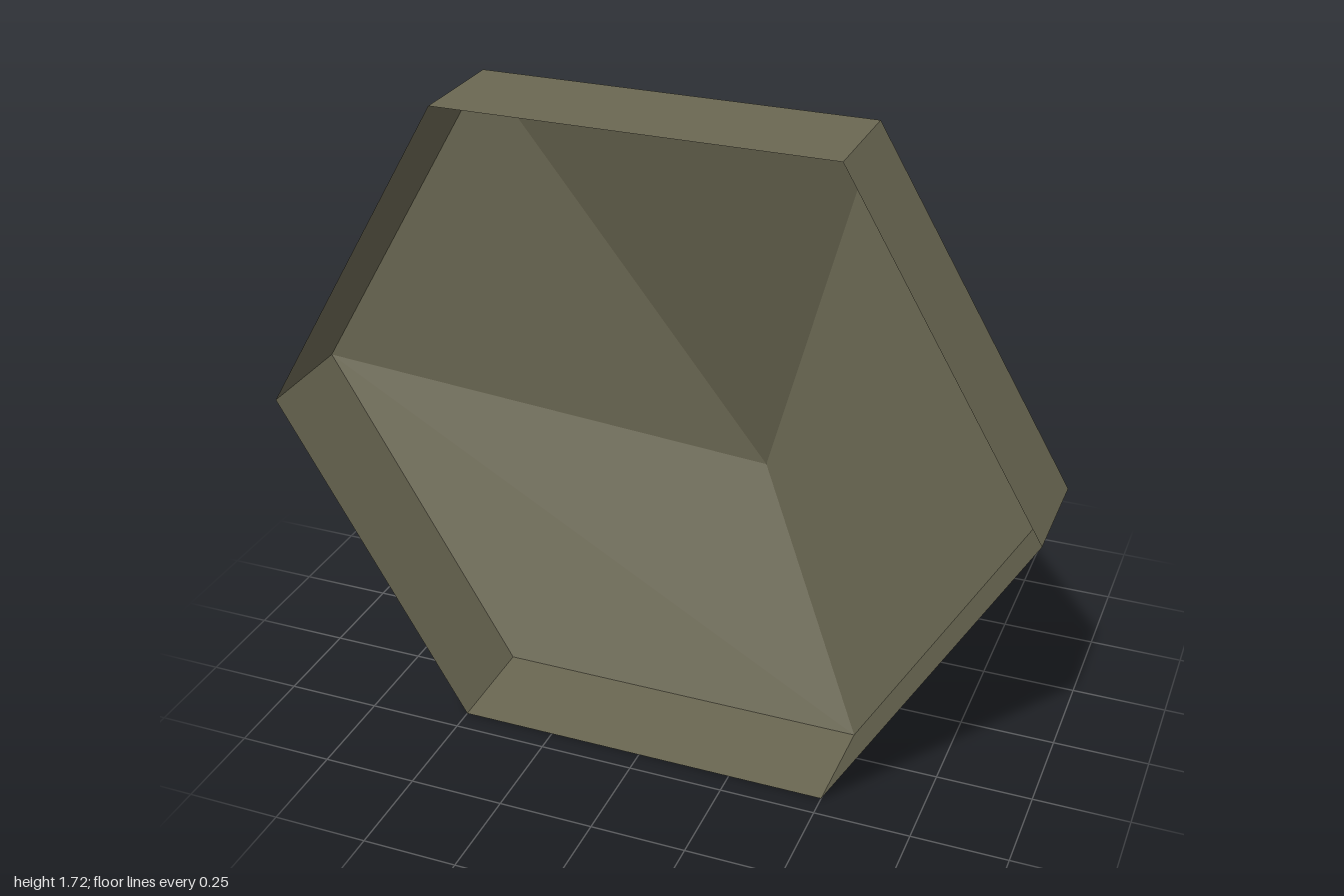
import * as THREE from 'three';

// Builds four-cornered panels, each shaded with one normal across the whole panel
function panels(quads) {
  const pos = [], nor = [];
  for (const [a, b, c, d] of quads) {
    const n = c.clone().sub(a).cross(d.clone().sub(b)).normalize();
    for (const p of [a, b, c, a, c, d]) {
      pos.push(p.x, p.y, p.z);
      nor.push(n.x, n.y, n.z);
    }
  }
  const geo = new THREE.BufferGeometry();
  geo.setAttribute('position', new THREE.Float32BufferAttribute(pos, 3));
  geo.setAttribute('normal', new THREE.Float32BufferAttribute(nor, 3));
  return geo;
}

export function createModel() {
  const olive = new THREE.MeshStandardMaterial({ color: 0x6a6752, side: THREE.DoubleSide });
  olive.name = 'olive';
  const black = new THREE.MeshStandardMaterial({ color: 0x0f0f0f, side: THREE.DoubleSide });
  black.name = 'black';

  const group = new THREE.Group();
  const add = (name, quads, material) => {
    const mesh = new THREE.Mesh(panels(quads), material);
    mesh.name = name;
    group.add(mesh);
  };

  // Hexagon corners, clockwise from the front, starting at upper left
  const half = 0.858, frontZ = 0.44, rimZ = 0.157, neckZ = -0.13, endZ = -0.44;
  const outline = [[-0.5, 2], [0.5, 2], [1, 1], [0.5, 0], [-0.5, 0], [-1, 1]];
  const ring = (z) => outline.map(([x, k]) => new THREE.Vector3(x, k * half, z));
  const front = ring(frontZ), back = ring(rimZ);

  // Open hexagonal rim
  add('rim', front.map((p, i) => {
    const j = (i + 1) % 6;
    return [p, front[j], back[j], back[i]];
  }), olive);

  // Funnel folding from the rim down to a slanted neck line
  const [upL, upR, right, lowR, lowL, left] = back;
  const neckTop = new THREE.Vector3(-0.143, 1.12, neckZ);
  const neckLow = new THREE.Vector3(0.143, 0.6, neckZ);
  add('funnel', [
    [upL, upR, neckLow, neckTop],
    [upR, right, lowR, neckLow],
    [lowR, lowL, left, neckLow],
    [upL, neckTop, neckLow, left],
  ], olive);

  // Flat stem blade behind the neck, with a narrow olive lower edge
  const blade = (t0, t1) => {
    const a = neckTop.clone().lerp(neckLow, t0), b = neckTop.clone().lerp(neckLow, t1);
    return [[a, a.clone().setZ(endZ), b.clone().setZ(endZ), b]];
  };
  add('stemBlade', blade(0, 0.92), black);
  add('stemEdge', blade(0.92, 1), olive);

  return group;
}
